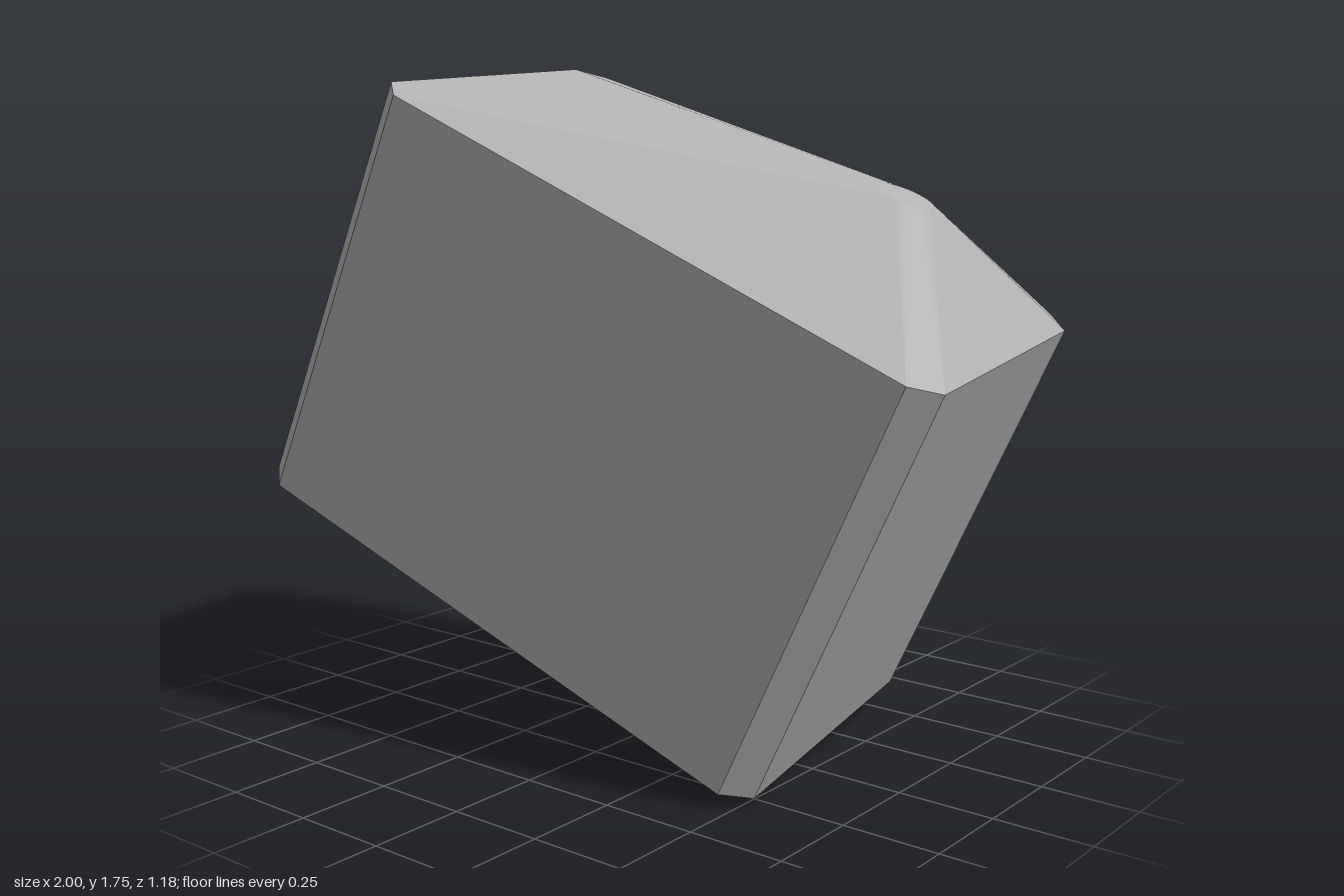
import * as THREE from 'three';
import { ConvexGeometry } from 'three/addons/geometries/ConvexGeometry.js';

// Half of the chamfered girdle outline (x, z); the rest is its point mirror.
const HALF = [[-0.842, -0.28], [-0.789, -0.36], [-0.713, 0.53], [-0.633, 0.59]];
const OUTLINE = [...HALF, ...HALF.map(([x, z]) => [-x, -z])];
const HALF_HEIGHT = 0.56;

const ring = (y) => OUTLINE.map(([x, z]) => new THREE.Vector3(x, y, z));

// Round flat facet, set off centre
function disc(y, radius, segments) {
  return Array.from({ length: segments }, (_, i) => {
    const a = (i / segments) * Math.PI * 2;
    return new THREE.Vector3(0.396 + radius * Math.cos(a), y, -0.065 + radius * Math.sin(a));
  });
}

export function createModel() {
  const model = new THREE.Group();
  model.name = 'cutBlock';

  const stone = new THREE.MeshStandardMaterial({ color: 0xb2b2b2 });
  stone.name = 'grey stone';

  // Straight chamfered sides, a tall crown above and a shallow base below
  const points = [
    ...ring(HALF_HEIGHT),
    ...ring(-HALF_HEIGHT),
    ...disc(HALF_HEIGHT + 0.227, 0.07, 48),
    ...disc(-HALF_HEIGHT - 0.077, 0.32, 64),
  ];
  const block = new THREE.Mesh(new ConvexGeometry(points), stone);
  block.name = 'block';

  // Tilted to lean on its lower edge
  block.rotation.z = THREE.MathUtils.degToRad(-25.4);
  block.position.y = 0.89;
  model.add(block);
  return model;
}
